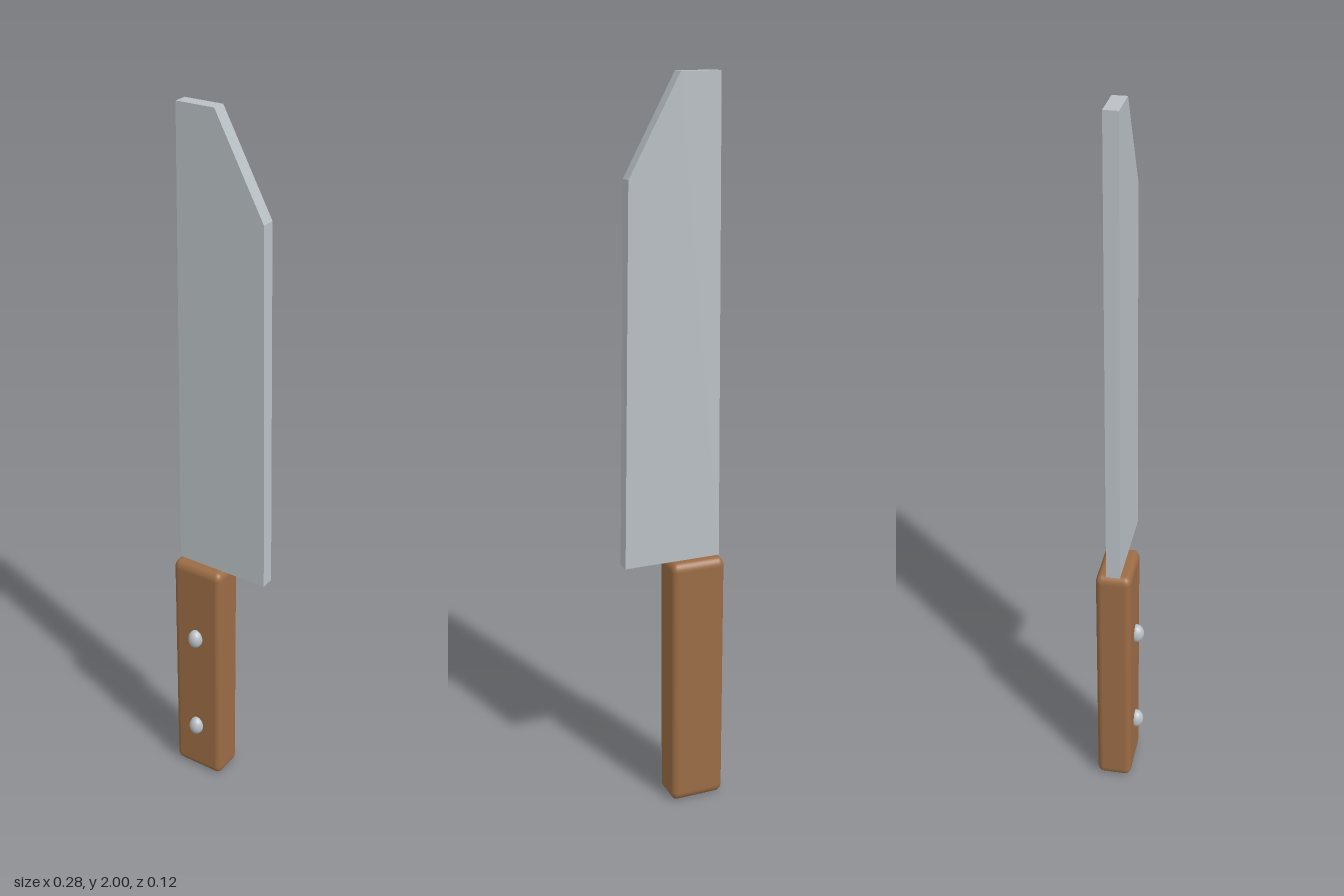
import * as THREE from 'three';
import { RoundedBoxGeometry } from 'three/addons/geometries/RoundedBoxGeometry.js';

export function createModel() {
  const model = new THREE.Group();
  model.name = 'kitchenKnife';

  const steel = new THREE.MeshStandardMaterial({ color: 0xb9c0c4 });
  steel.name = 'steel';
  const wood = new THREE.MeshStandardMaterial({ color: 0x9b6c45 });
  wood.name = 'wood';

  const add = (name, geometry, material, x, y, z) => {
    const mesh = new THREE.Mesh(geometry, material);
    mesh.name = name;
    mesh.position.set(x, y, z);
    model.add(mesh);
    return mesh;
  };

  // All rounded parts are stretched along the height of the knife
  const stretch = 1.33;

  // Handle: softly rounded block
  const handle = add('handle', new RoundedBoxGeometry(0.155, 0.724 / stretch, 0.098, 3, 0.018),
    wood, -0.0625, 0.362, -0.014);
  handle.scale.y = stretch;

  // Blade: flat tapering plate with a clipped tip
  const outline = new THREE.Shape([
    [-0.133, 0.724], [0.14, 0.724], [0.122, 1.745], [-0.017, 2], [-0.125, 2],
  ].map(([x, y]) => new THREE.Vector2(x, y)));
  add('blade', new THREE.ExtrudeGeometry(outline, { depth: 0.038, bevelEnabled: false }),
    steel, 0, 0, -0.033);

  // Rivets: on the front of the handle only
  const rivetGeometry = new THREE.SphereGeometry(0.021, 24, 16);
  [['lowerRivet', 0.165], ['upperRivet', 0.485]].forEach(([name, y]) => {
    add(name, rivetGeometry, steel, -0.063, y, 0.039).scale.y = stretch;
  });

  return model;
}
